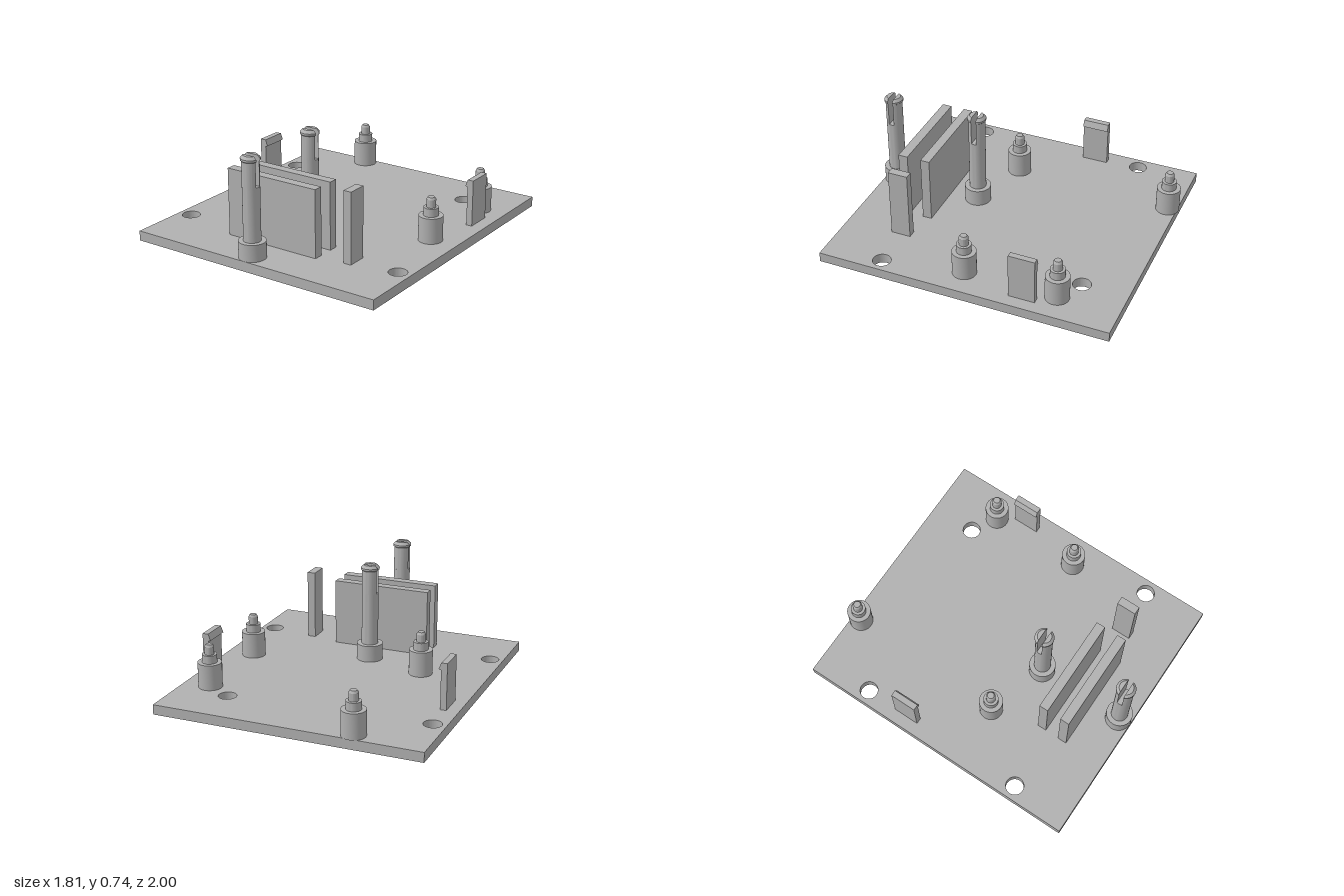
import * as THREE from 'three';
import { toCreasedNormals } from 'three/addons/utils/BufferGeometryUtils.js';

const PLATE_TOP = 0.067;

export function createModel() {
  const model = new THREE.Group();
  model.name = 'mountingPlate';
  const grey = new THREE.MeshStandardMaterial({ color: 0xb0b0b0 });
  grey.name = 'plain grey';

  const add = (name, geometry, x = 0, y = 0, z = 0, parent = model) => {
    const mesh = new THREE.Mesh(geometry, grey);
    mesh.name = name;
    mesh.position.set(x, y, z);
    parent.add(mesh);
    return mesh;
  };
  const turned = (profile) => toCreasedNormals(
    new THREE.LatheGeometry(profile.map(([r, y]) => new THREE.Vector2(r, y)), 40), 0.5);
  // Box given by its limits, standing on the plate
  const block = (name, x0, x1, z0, z1, top) => add(name,
    new THREE.BoxGeometry(x1 - x0, top - PLATE_TOP, z1 - z0),
    (x0 + x1) / 2, (top + PLATE_TOP) / 2, (z0 + z1) / 2);

  // Base plate with four screw holes; shape y becomes -z
  const outline = new THREE.Shape();
  outline.moveTo(-0.905, -1).lineTo(0.905, -1).lineTo(0.905, 0.986).lineTo(-0.905, 0.986).closePath();
  for (const [x, z] of [[-0.815, -0.583], [0.54, -0.673], [-0.815, 0.594], [0.813, 0.594]]) {
    outline.holes.push(new THREE.Path().absarc(x, -z, 0.06, 0, Math.PI * 2, true));
  }
  const plate = new THREE.ExtrudeGeometry(outline, { depth: PLATE_TOP, bevelEnabled: false, curveSegments: 32 });
  plate.rotateX(-Math.PI / 2);
  add('basePlate', toCreasedNormals(plate, 0.5));

  // Stepped standoffs with a locating pin
  const standoff = turned([[0, PLATE_TOP], [0.079, PLATE_TOP], [0.079, 0.238], [0.049, 0.238],
    [0.049, 0.293], [0.031, 0.293], [0.031, 0.345], [0.022, 0.36], [0, 0.36]]);
  for (const [x, z] of [[-0.434, -0.921], [0.715, -0.575], [0.715, 0.056], [-0.463, 0.171]]) {
    add('standoff', standoff, x, 0, z);
  }

  // Split snap posts: turned foot and shaft, then two prongs with a lip
  const foot = turned([[0, PLATE_TOP], [0.088, PLATE_TOP], [0.088, 0.18], [0.056, 0.18],
    [0.056, 0.537], [0, 0.537]]);
  const prong = prongGeometry([[0.056, 0.537], [0.056, 0.698], [0.063, 0.704], [0.063, 0.717], [0.046, 0.736]], 0.0175);
  for (const z of [0.303, 0.911]) {
    const post = new THREE.Group();
    post.name = 'snapPost';
    post.position.set(-0.046, 0, z);
    model.add(post);
    add('postShaft', foot, 0, 0, 0, post);
    add('frontProng', prong, 0, 0, 0, post);
    add('backProng', prong, 0, 0, 0, post).rotation.y = Math.PI;
  }

  // Parallel walls and the single upright tab
  block('backWall', -0.387, 0.29, 0.495, 0.557, 0.521);
  block('frontWall', -0.387, 0.29, 0.652, 0.716, 0.521);
  block('uprightTab', 0.468, 0.523, 0.538, 0.672, 0.542);

  // Hooked clips facing each other; the profile is that of the -x side
  const clipProfile = [[-0.825, PLATE_TOP], [-0.784, PLATE_TOP], [-0.784, 0.331], [-0.768, 0.336],
    [-0.785, 0.38], [-0.825, 0.38]];
  const clip = new THREE.ExtrudeGeometry(
    new THREE.Shape(clipProfile.map(([x, y]) => new THREE.Vector2(x, y))),
    { depth: 0.178, bevelEnabled: false });
  add('rightClip', clip, 0, 0, -0.36);
  add('leftClip', clip, -0.004, 0, -0.288).rotation.y = Math.PI;
  model.getObjectByName('leftClip').position.z = -0.288;

  return model;
}

// Lofts D-shaped sections (arc on +z, flat at z = gap) through [radius, height] rings
function prongGeometry(rings, gap, steps = 20) {
  const positions = [], index = [], n = steps + 1;
  for (const [r, y] of rings) {
    const start = Math.asin(gap / r);
    for (let i = 0; i <= steps; i++) {
      const a = start + (Math.PI - 2 * start) * i / steps;
      positions.push(r * Math.cos(a), y, r * Math.sin(a));
    }
  }
  for (let k = 0; k < rings.length - 1; k++) {
    for (let i = 0; i < n; i++) {
      const a = k * n + i, b = k * n + (i + 1) % n;
      index.push(a, a + n, b, b, a + n, b + n);
    }
  }
  const top = (rings.length - 1) * n;
  for (let i = 1; i < steps; i++) index.push(top, top + i + 1, top + i);
  const geometry = new THREE.BufferGeometry();
  geometry.setAttribute('position', new THREE.Float32BufferAttribute(positions, 3));
  geometry.setIndex(index);
  return toCreasedNormals(geometry, 0.4);
}
